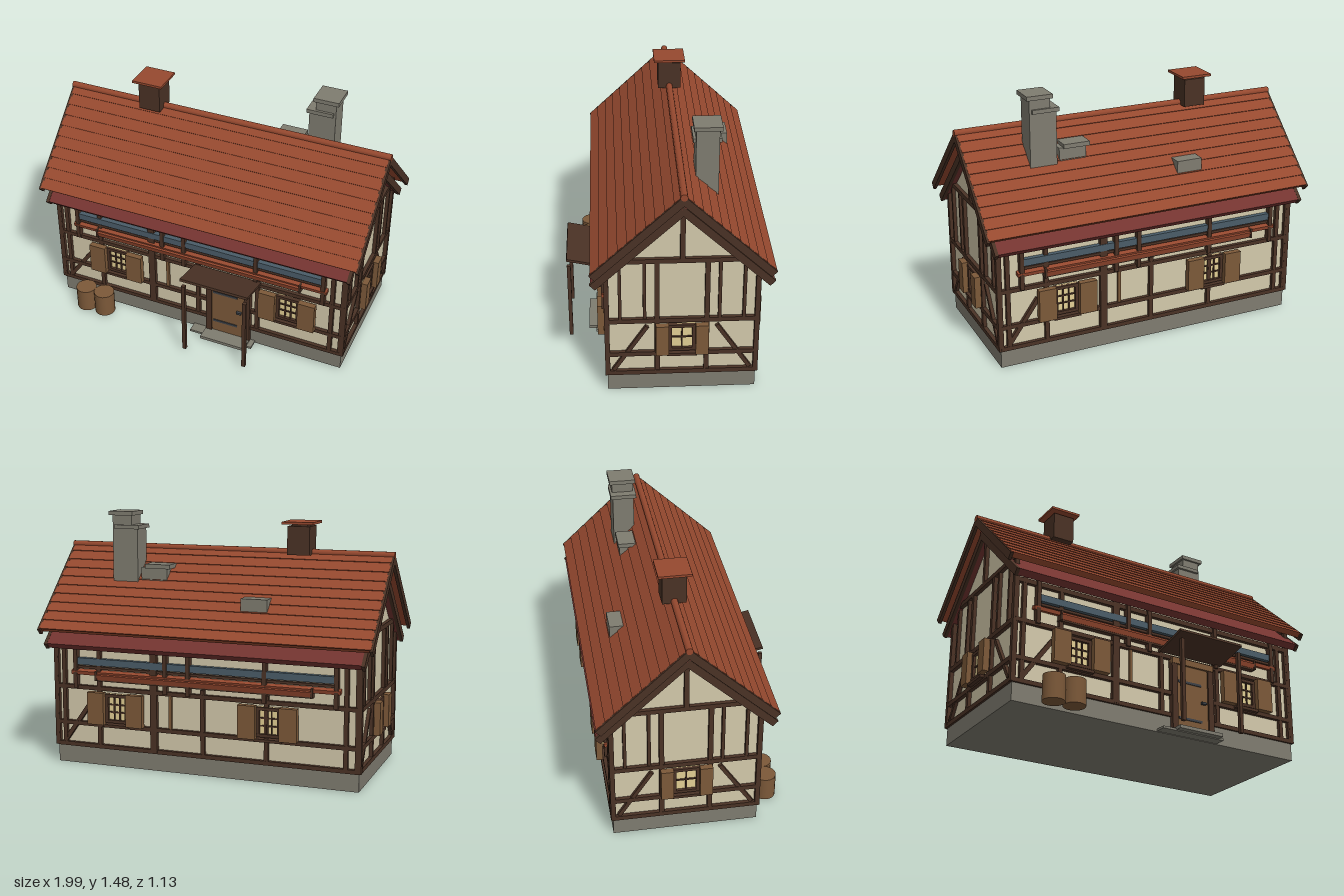
import * as THREE from 'three';

const mat = (name, color) => {
  const m = new THREE.MeshStandardMaterial({ color });
  m.name = name;
  return m;
};
const plaster = mat('plaster', 0xd3c9ab), timber = mat('dark timber', 0x4a3225), stone = mat('stone', 0x7f7c70);
const tile = mat('roof tile', 0x96492f), underTile = mat('lower roof red', 0x743430), wood = mat('warm wood', 0x7c5939);
const glass = mat('lit glass', 0xe3cf94), slate = mat('blue slate', 0x4a5c68), iron = mat('iron', 0x3d4147);
const CZ = -0.065, PITCH = 0.754;

// Box given by its ranges on each axis
function box(g, name, m, x0, x1, y0, y1, z0, z1) {
  const mesh = new THREE.Mesh(new THREE.BoxGeometry(x1 - x0, y1 - y0, z1 - z0), m);
  mesh.position.set((x0 + x1) / 2, (y0 + y1) / 2, (z0 + z1) / 2);
  mesh.name = name;
  g.add(mesh);
  return mesh;
}

// Timber running between two points on a wall face
function beam(g, name, xa, ya, xb, yb, w = 0.027, depth = 0.022) {
  const len = Math.hypot(xb - xa, yb - ya);
  const mesh = new THREE.Mesh(new THREE.BoxGeometry(w, len, depth), timber);
  mesh.position.set((xa + xb) / 2, (ya + yb) / 2, depth / 2);
  mesh.rotation.z = Math.atan2(xa - xb, yb - ya);
  mesh.name = name;
  g.add(mesh);
}

// Window with glazing bars, sill and a pair of open shutters
function windowUnit(g, x, halfW, shutterW, cols, rows) {
  const w = new THREE.Group();
  w.name = 'window';
  w.position.x = x;
  const y0 = 0.265, y1 = 0.435, f = 0.018;
  box(w, 'pane', glass, -halfW, halfW, y0, y1, 0, 0.014);
  for (const s of [-1, 1]) {
    const e = s * (halfW - f / 2);
    box(w, 'windowFrame', timber, e - f / 2, e + f / 2, y0, y1, 0, 0.03);
    const c = s * (halfW + shutterW / 2);
    box(w, 'shutter', wood, c - shutterW / 2, c + shutterW / 2, y0 - 0.01, y1 + 0.01, 0.024, 0.06);
  }
  box(w, 'windowHead', timber, -halfW, halfW, y1 - f, y1, 0, 0.031);
  box(w, 'windowFoot', timber, -halfW, halfW, y0, y0 + f, 0, 0.031);
  for (let i = 1; i < cols; i++) {
    const bx = -halfW + f + (2 * halfW - 2 * f) * i / cols;
    box(w, 'glazingBar', timber, bx - 0.004, bx + 0.004, y0, y1, 0, 0.022);
  }
  for (let i = 1; i < rows; i++) {
    const by = y0 + f + (y1 - y0 - 2 * f) * i / rows;
    box(w, 'glazingBar', timber, -halfW, halfW, by - 0.004, by + 0.004, 0, 0.021);
  }
  box(w, 'sill', timber, -halfW - 0.01, halfW + 0.01, y0 - 0.025, y0 - 0.008, 0, 0.045);
  g.add(w);
}

// Timber frame shared by the two long walls; local +z points outward
function longWall(name, windowXs) {
  const g = new THREE.Group();
  g.name = name;
  for (const y of [0.115, 0.245, 0.462]) beam(g, 'rail', -0.915, y, 0.915, y, 0.024);
  beam(g, 'eavesRail', -0.915, 0.7, 0.915, 0.7);
  for (const x of [-0.912, -0.865, -0.64, 0.84, 0.905]) beam(g, 'post', x, 0.11, x, 0.72, 0.025, 0.021);
  beam(g, 'mainPost', -0.295, 0.11, -0.295, 0.72, 0.042, 0.024);
  for (const x of [0.005, 0.385]) beam(g, 'post', x, 0.11, x, 0.5, 0.025, 0.021);
  for (const x of [-0.785, -0.22, -0.08, 0.375, 0.785]) beam(g, 'upperPost', x, 0.46, x, 0.72, 0.024, 0.034);
  beam(g, 'brace', -0.87, 0.13, -0.69, 0.385, 0.025, 0.02);
  box(g, 'woodenStave', wood, -0.204, -0.186, 0.255, 0.452, 0, 0.016);
  // Slate band and the narrow tiled ledges
  box(g, 'slateBand', slate, -0.79, 0.79, 0.598, 0.638, 0, 0.028);
  box(g, 'ledgeRail', timber, -0.79, 0.79, 0.575, 0.59, 0, 0.02);
  const ledge = box(g, 'upperLedge', tile, -0.81, 0.81, 0.543, 0.565, 0, 0.034);
  ledge.rotation.x = 0.25;
  const lower = box(g, 'lowerLedge', tile, -0.65, 0.65, 0.522, 0.552, 0, 0.042);
  lower.rotation.x = 0.3;
  box(g, 'ledgeSupport', timber, -0.65, 0.65, 0.508, 0.522, 0, 0.032);
  for (const s of [-1, 1]) box(g, 'ledgeEnd', timber, s * 0.65 - 0.006, s * 0.65 + 0.006, 0.51, 0.566, 0, 0.044);
  for (const x of windowXs) windowUnit(g, x, 0.07, 0.103, 3, 3);
  return g;
}

// Timber frame of a gable end
function gableWall(name) {
  const g = new THREE.Group();
  g.name = name;
  for (const y of [0.117, 0.242, 0.46, 0.84]) beam(g, 'rail', -0.405, y, 0.405, y, 0.027);
  for (const s of [-1, 1]) {
    beam(g, 'cornerPost', s * 0.408, 0.105, s * 0.408, 0.82, 0.027, 0.024);
    beam(g, 'post', s * 0.135, 0.12, s * 0.135, 0.84, 0.027, 0.021);
    for (const x of [0.203, 0.336]) beam(g, 'upperPost', s * x, 0.47, s * x, 0.84, 0.018, 0.02);
    beam(g, 'brace', s * 0.375, 0.135, s * 0.19, 0.42, 0.022, 0.019);
  }
  beam(g, 'kingPost', 0, 0.85, 0, 1.16);
  windowUnit(g, 0, 0.073, 0.071, 2, 2);
  return g;
}

// One slope of the roof, local z running down the pitch
function roofSlope(back) {
  const side = new THREE.Group();
  side.name = back ? 'backRoofSlope' : 'frontRoofSlope';
  side.position.z = CZ;
  side.rotation.y = back ? Math.PI : 0;
  const layer = (y) => {
    const g = new THREE.Group();
    g.position.y = y;
    g.rotation.x = PITCH;
    side.add(g);
    return g;
  };
  const top = layer(1.265), under = layer(1.182);
  box(top, 'roofDeck', tile, -0.98, 0.98, -0.03, -0.004, 0, 0.665);
  // Overlapping courses, each lifted a little at its lower edge
  const n = 10, step = 0.67 / n;
  for (let i = 0; i < n; i++) {
    const c = box(top, 'tileCourse', tile, -0.985, 0.985, -0.006, 0.002, i * step, (i + 1) * step);
    c.rotation.x = -0.07;
  }
  box(under, 'lowerRoof', underTile, -0.935, 0.935, -0.04, 0, 0, 0.672);
  for (const s of [-1, 1]) {
    box(top, 'bargeBoard', timber, s * 0.987 - 0.009, s * 0.987 + 0.009, -0.042, 0.001, 0, 0.678);
    box(under, 'lowerBargeBoard', timber, s * 0.945 - 0.01, s * 0.945 + 0.01, -0.042, 0.001, 0, 0.678);
  }
  return side;
}

function cylinder(g, name, m, r, len, x, y, z, alongX = false, sides = 16) {
  const mesh = new THREE.Mesh(new THREE.CylinderGeometry(r, r, len, sides), m);
  mesh.position.set(x, y, z);
  if (alongX) mesh.rotation.z = Math.PI / 2;
  mesh.name = name;
  g.add(mesh);
}

export function createModel() {
  const house = new THREE.Group();
  house.name = 'timberFramedHouse';

  // Stone plinth and plastered body with pointed ends
  box(house, 'plinth', stone, -0.915, 0.915, 0, 0.105, CZ - 0.41, CZ + 0.41);
  const outline = new THREE.Shape([[-0.4, 0.1], [0.4, 0.1], [0.4, 0.765], [0, 1.145], [-0.4, 0.765]]
    .map(p => new THREE.Vector2(...p)));
  const body = new THREE.Mesh(new THREE.ExtrudeGeometry(outline, { depth: 1.81, bevelEnabled: false }), plaster);
  body.rotation.y = Math.PI / 2;
  body.position.set(-0.905, 0, CZ);
  body.name = 'plasterBody';
  house.add(body);

  // Framed walls
  const front = longWall('frontWall', [-0.526, 0.579]);
  front.position.z = CZ + 0.4;
  const back = longWall('backWall', [-0.526, 0.4]);
  back.position.z = CZ - 0.4;
  back.rotation.y = Math.PI;
  house.add(front, back);
  for (const s of [-1, 1]) {
    const g = gableWall(s > 0 ? 'leftGable' : 'rightGable');
    g.position.set(s * 0.905, 0, CZ);
    g.rotation.y = s * Math.PI / 2;
    house.add(g);
  }

  // Roof and ridges
  house.add(roofSlope(false), roofSlope(true));
  cylinder(house, 'ridge', tile, 0.02, 1.994, 0, 1.257, CZ, true, 10);
  cylinder(house, 'lowerRidge', underTile, 0.018, 1.91, 0, 1.18, CZ, true, 10);

  // Chimneys and roof vents
  box(house, 'woodenFlue', timber, -0.52, -0.388, 1.245, 1.408, -0.132, 0.002);
  box(house, 'flueNeck', timber, -0.5, -0.41, 1.4, 1.425, -0.11, -0.02);
  box(house, 'flueCap', tile, -0.547, -0.362, 1.42, 1.434, -0.157, 0.028);
  box(house, 'chimneyShaft', stone, 0.478, 0.635, 0.98, 1.385, -0.275, -0.15);
  box(house, 'chimneyCollar', stone, 0.465, 0.622, 1.377, 1.4, -0.288, -0.135);
  box(house, 'chimneyTop', stone, 0.515, 0.635, 1.385, 1.46, -0.275, -0.15);
  box(house, 'chimneyCap', stone, 0.503, 0.653, 1.455, 1.479, -0.29, -0.137);
  box(house, 'smallStack', stone, 0.3, 0.46, 1.0, 1.155, -0.262, -0.178);
  box(house, 'smallStackCap', stone, 0.28, 0.435, 1.15, 1.175, -0.272, -0.168);
  box(house, 'roofVent', stone, -0.36, -0.205, 0.9, 1.022, -0.405, -0.312);

  // Door with frame, straps and handle
  const door = new THREE.Group();
  door.name = 'door';
  door.position.z = CZ + 0.4;
  box(door, 'doorLeaf', wood, 0.1, 0.315, 0.02, 0.43, 0, 0.026);
  for (const x of [0.083, 0.328]) box(door, 'doorJamb', timber, x - 0.018, x + 0.018, 0.02, 0.44, 0, 0.036);
  box(door, 'doorLintel', wood, 0.065, 0.346, 0.425, 0.462, 0, 0.04);
  for (const y of [0.105, 0.325]) box(door, 'doorStrap', iron, 0.11, 0.265, y - 0.007, y + 0.007, 0.026, 0.031);
  box(door, 'doorHandle', iron, 0.262, 0.292, 0.212, 0.226, 0.026, 0.042);
  house.add(door);

  // Porch roof on two posts, with steps
  const canopy = box(house, 'porchRoof', timber, -0.01, 0.41, 0.502, 0.517, 0.355, 0.572);
  canopy.rotation.x = -0.225;
  for (const x of [0.008, 0.39]) box(house, 'porchPost', timber, x - 0.011, x + 0.011, 0.004, 0.487, 0.546, 0.568);
  box(house, 'lowerStep', stone, -0.025, 0.375, 0.003, 0.016, 0.34, 0.41);
  box(house, 'upperStep', stone, 0.06, 0.345, 0.008, 0.027, 0.34, 0.45);

  // Barrels
  for (const x of [-0.718, -0.595]) cylinder(house, 'barrel', wood, 0.062, 0.145, x, 0.0735, 0.437, false, 20);

  return house;
}
